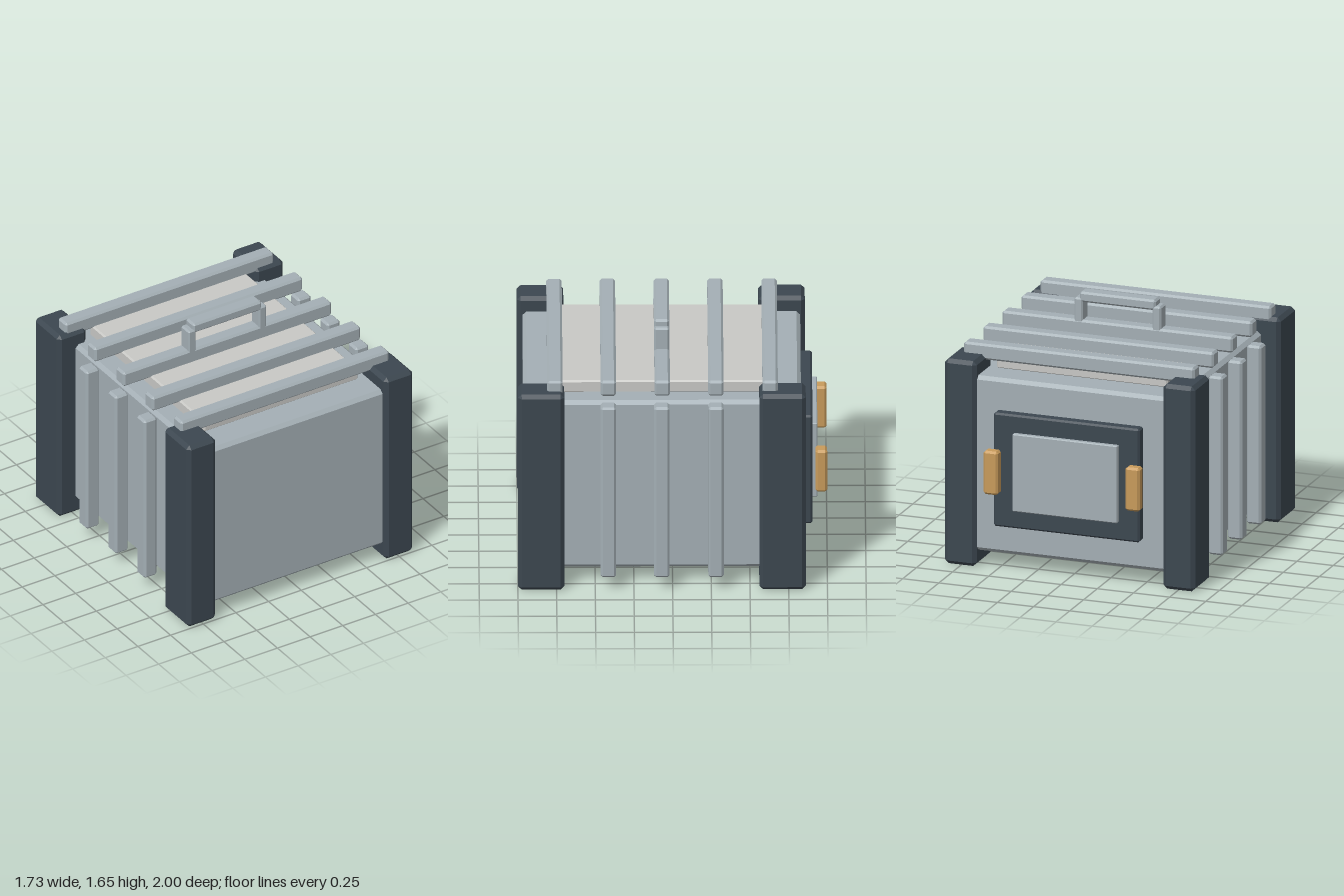
import * as THREE from 'three';
import { ConvexGeometry } from 'three/addons/geometries/ConvexGeometry.js';

// Box with every edge chamfered by c, given as min/max per axis
function chamferBox(x0, x1, y0, y1, z0, z1, c) {
  const half = [(x1 - x0) / 2, (y1 - y0) / 2, (z1 - z0) / 2];
  const points = [];
  for (const sx of [-1, 1]) for (const sy of [-1, 1]) for (const sz of [-1, 1]) {
    for (let axis = 0; axis < 3; axis++) {
      const p = half.map((h, i) => (i === axis ? h : h - c));
      points.push(new THREE.Vector3(sx * p[0], sy * p[1], sz * p[2]));
    }
  }
  const geometry = new ConvexGeometry(points);
  geometry.translate((x0 + x1) / 2, (y0 + y1) / 2, (z0 + z1) / 2);
  return geometry;
}

function material(name, color) {
  const m = new THREE.MeshStandardMaterial({ color, flatShading: true });
  m.name = name;
  return m;
}

export function createModel() {
  const model = new THREE.Group();
  model.name = 'crate';
  const steel = material('blue grey', 0xa4afb5);
  const dark = material('dark slate', 0x3c4750);
  const pale = material('pale grey', 0xc8c8c5);
  const amber = material('amber', 0xc89b5b);

  const add = (name, mat, box, chamfer, parent = model) => {
    const mesh = new THREE.Mesh(chamferBox(...box, chamfer), mat);
    mesh.name = name;
    parent.add(mesh);
  };

  // Main body and the panel on its top
  add('body', steel, [-0.735, 0.735, 0.105, 1.29, -0.83, 0.965], 0.024);
  add('topPanel', pale, [-0.59, 0.59, 1.285, 1.37, -0.62, 0.76], 0.01);

  for (const [side, s] of [['left', 1], ['right', -1]]) {
    const span = (a, b) => (s > 0 ? [a, b] : [-b, -a]);

    // Corner posts
    add(side + 'FrontPost', dark, [...span(0.645, 0.865), 0, 1.39, 0.7, 1.0], 0.025);
    add(side + 'BackPost', dark, [...span(0.645, 0.865), 0, 1.39, -0.86, -0.56], 0.025);

    // Upright side ribs
    for (const z of [0.415, 0.07, -0.28]) {
      add(side + 'Rib', steel, [...span(0.76, 0.86), 0.09, 1.3, z - 0.05, z + 0.05], 0.014);
    }

    // Latch on the back
    add(side + 'Latch', amber, [...span(0.44, 0.54), 0.55, 0.845, -1.0, -0.925], 0.014);
  }

  // Slats across the top
  for (const z of [0.76, 0.415, 0.067, -0.28, -0.63]) {
    add('topSlat', steel, [-0.797, 0.797, 1.353, 1.46, z - 0.05, z + 0.05], 0.014);
  }

  // Carrying handle
  const handle = new THREE.Group();
  handle.name = 'handle';
  model.add(handle);
  add('handleGrip', steel, [-0.263, 0.263, 1.58, 1.65, 0.02, 0.117], 0.013, handle);
  for (const x of [-0.27, 0.27]) {
    add('handlePost', steel, [x - 0.03, x + 0.03, 1.42, 1.608, 0.02, 0.117], 0.011, handle);
  }

  // Framed panel on the back
  add('backFrame', dark, [-0.505, 0.505, 0.31, 1.08, -0.905, -0.825], 0.012);
  add('backPanel', steel, [-0.363, 0.363, 0.435, 0.96, -0.937, -0.895], 0.006);

  return model;
}
